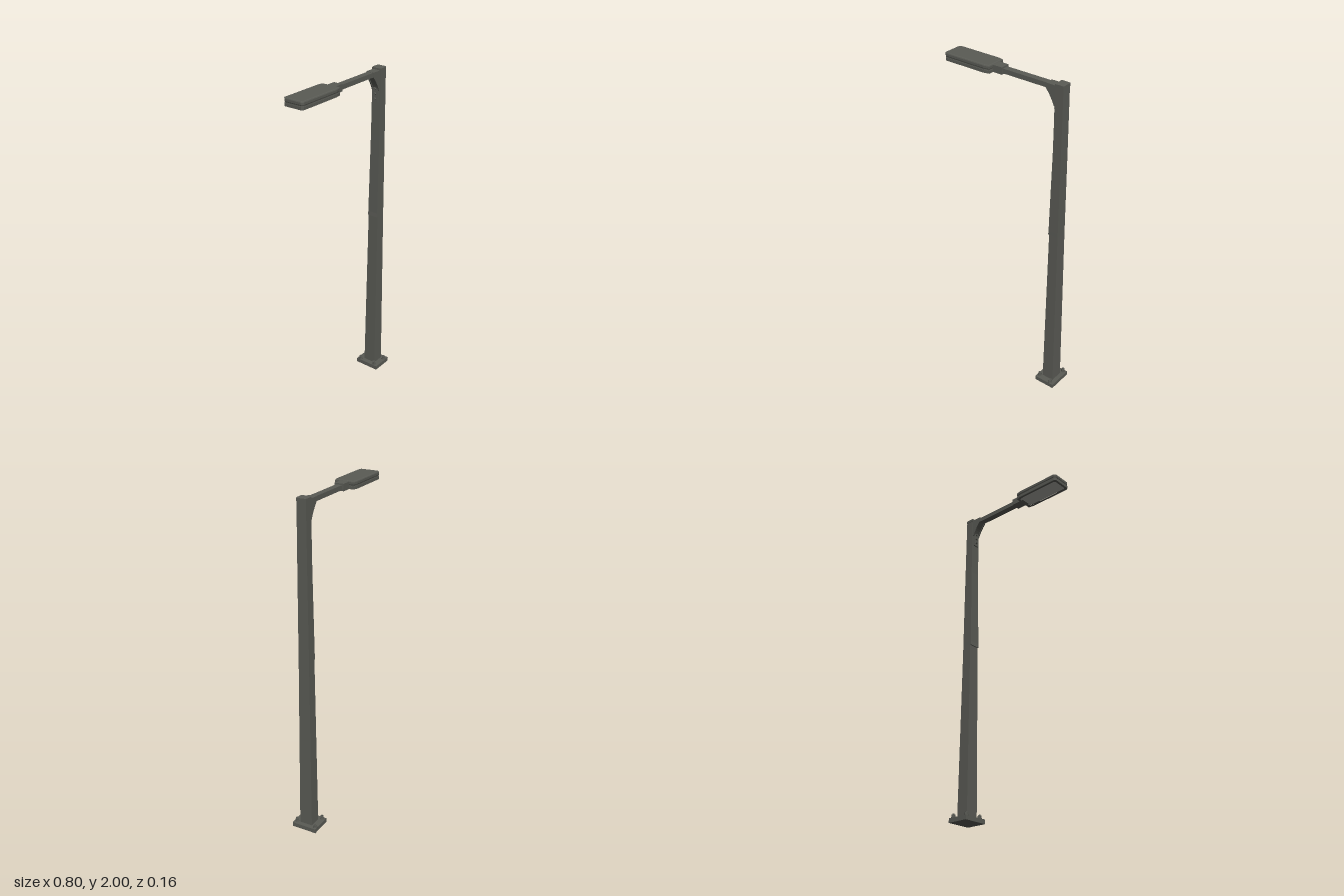
import * as THREE from 'three';

export function createModel() {
  const model = new THREE.Group();
  model.name = 'streetLamp';
  const metal = new THREE.MeshStandardMaterial({ color: 0x5a5b55, flatShading: true });
  metal.name = 'dark grey metal';
  const glass = new THREE.MeshStandardMaterial({ color: 0xa8a8a2, flatShading: true });
  glass.name = 'pale grey glass';

  function add(name, geometry, parent = model, material = metal) {
    const mesh = new THREE.Mesh(geometry, material);
    mesh.name = name;
    parent.add(mesh);
    return mesh;
  }

  // Box given by its limits
  function box(name, x0, x1, y0, y1, z0, z1) {
    const g = new THREE.BoxGeometry(x1 - x0, y1 - y0, z1 - z0);
    return add(name, g.translate((x0 + x1) / 2, (y0 + y1) / 2, (z0 + z1) / 2));
  }

  // Tapered square tube through rings of [y, x0, x1, half depth]
  function loft(name, rings) {
    const g = new THREE.BoxGeometry(1, 1, 1, 1, rings.length - 1, 1);
    const p = g.attributes.position;
    for (let i = 0; i < p.count; i++) {
      const [y, x0, x1, d] = rings[Math.round((p.getY(i) + 0.5) * (rings.length - 1))];
      p.setXYZ(i, p.getX(i) > 0 ? x1 : x0, y, Math.sign(p.getZ(i)) * d);
    }
    g.computeVertexNormals();
    return add(name, g);
  }

  // Base plate and anchor bolts
  box('basePlate', 0.268, 0.4, 0, 0.026, -0.079, 0.077);
  for (const [x, z] of [[0.283, -0.058], [0.377, -0.066], [0.284, 0.048], [0.371, 0.062]]) {
    const bolt = new THREE.Group();
    bolt.name = 'anchorBolt';
    bolt.position.set(x, 0.026, z);
    model.add(bolt);
    add('washer', new THREE.CylinderGeometry(0.013, 0.013, 0.005, 10).translate(0, 0.0025, 0), bolt);
    add('nut', new THREE.CylinderGeometry(0.011, 0.011, 0.014, 6).translate(0, 0.012, 0), bolt);
    add('stud', new THREE.CylinderGeometry(0.005, 0.005, 0.006, 8).translate(0, 0.021, 0), bolt);
  }

  // Two-part tapered pole with a flat cap; the upper part overhangs on the arm side
  loft('lowerPole', [[0.026, 0.298, 0.373, 0.04], [1.09, 0.309, 0.367, 0.033]]);
  loft('upperPole', [[1.085, 0.302, 0.367, 0.033], [1.11, 0.304, 0.367, 0.033],
    [1.6, 0.314, 0.367, 0.03], [1.985, 0.316, 0.366, 0.028]]);
  loft('poleCap', [[1.98, 0.314, 0.367, 0.029], [1.996, 0.314, 0.367, 0.029], [2, 0.317, 0.364, 0.026]]);

  // Horizontal arm, slightly deeper at the pole
  loft('arm', [[1.957, -0.04, 0.32, 0.019], [1.984, -0.04, 0.32, 0.019]]);
  box('armSleeve', -0.115, -0.03, 1.951, 1.992, -0.029, 0.027);

  // Corner bracket: two cheeks, an inner web and a bolted strip on the pole
  function bracket(name, inset, depth, z) {
    const s = new THREE.Shape();
    s.moveTo(0.32, 1.986);
    s.lineTo(0.254, 1.986);
    s.lineTo(0.254, 1.958 + inset);
    s.quadraticCurveTo(0.288 + inset, 1.92 + inset, 0.308 + inset, 1.87);
    s.lineTo(0.32, 1.87);
    s.closePath();
    const g = new THREE.ExtrudeGeometry(s, { depth, bevelEnabled: false, curveSegments: 8 });
    add(name, g.translate(0, 0, z));
  }
  bracket('bracketCheek', 0, 0.007, 0.018);
  bracket('bracketCheek', 0, 0.007, -0.025);
  bracket('bracketWeb', 0.005, 0.036, -0.018);
  box('bracketStrip', 0.307, 0.32, 1.8, 1.9, -0.018, 0.018);
  for (const y of [1.82, 1.85, 1.88]) {
    const g = new THREE.CylinderGeometry(0.007, 0.007, 0.012, 6).rotateZ(Math.PI / 2);
    add('bracketBolt', g.translate(0.303, y, 0));
  }

  // Lamp head outline in plan, drawn inward by an inset
  function outline(inset, PathType = THREE.Shape) {
    const half = [[-0.4 + inset, 0.054 - inset], [-0.388 + inset, 0.065 - inset],
      [-0.124 - inset, 0.065 - inset], [-0.09 - inset, 0.058 - inset]];
    const points = [...half, ...half.map(([x, z]) => [x, -z]).reverse()];
    return new PathType(points.map(([x, z]) => new THREE.Vector2(x, z)));
  }
  function slab(name, shape, y0, y1, bevel = 0, material = metal) {
    const g = new THREE.ExtrudeGeometry(shape, {
      depth: y1 - y0 - 2 * bevel, bevelEnabled: bevel > 0, bevelSize: bevel,
      bevelThickness: bevel, bevelOffset: -bevel, bevelSegments: 2,
    });
    add(name, g.rotateX(-Math.PI / 2).translate(0, y0 + bevel, 0), model, material);
  }
  const frame = outline(0);
  frame.holes.push(outline(0.014, THREE.Path));
  slab('headFrame', frame, 1.951, 1.968);
  slab('lens', outline(0.0135), 1.955, 1.961, 0, glass);
  slab('headSeam', outline(0.003), 1.962, 1.976);
  slab('headShell', outline(0), 1.971, 1.997, 0.007);

  return model;
}
